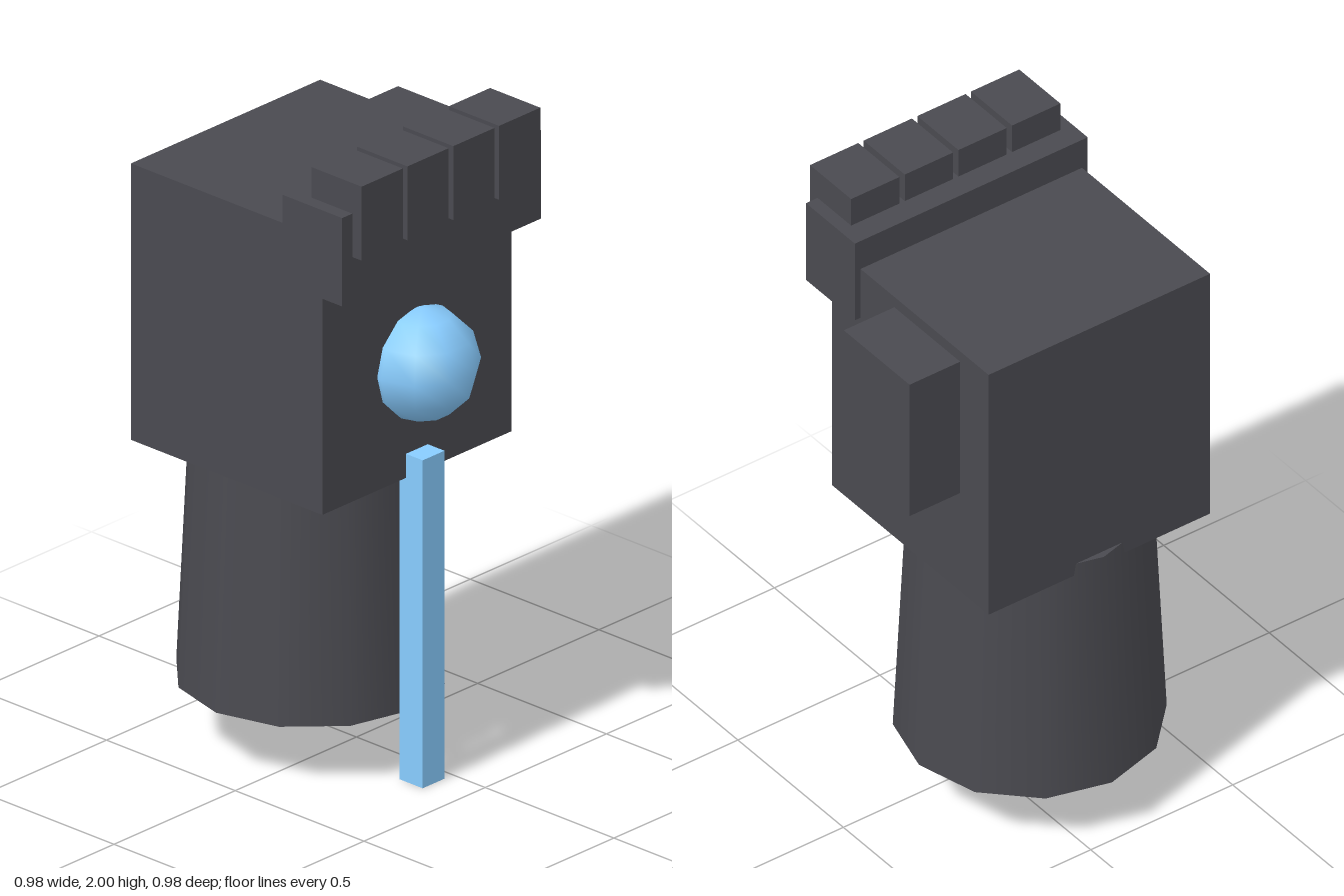
import * as THREE from 'three';

export function createModel() {
  const model = new THREE.Group();
  const dark = new THREE.MeshStandardMaterial({ color: 0x4a4a50 });
  const blue = new THREE.MeshStandardMaterial({ color: 0x88ccff });

  function add(name, geometry, material, x, y, z) {
    const mesh = new THREE.Mesh(geometry, material);
    mesh.name = name;
    mesh.position.set(x, y, z);
    model.add(mesh);
    return mesh;
  }

  // Box given by its lower and upper corners
  function addBox(name, material, [x0, y0, z0], [x1, y1, z1]) {
    return add(name, new THREE.BoxGeometry(x1 - x0, y1 - y0, z1 - z0), material,
      (x0 + x1) / 2, (y0 + y1) / 2, (z0 + z1) / 2);
  }

  // Tapered twelve-sided forearm, its top sunk slightly into the palm
  add('forearm', new THREE.CylinderGeometry(0.352, 0.39, 0.785, 12), dark, -0.08, 0.5925, -0.103);

  // Hand
  addBox('palm', dark, [-0.47, 0.945, -0.433], [0.31, 1.805, 0.31]);
  addBox('knuckles', dark, [-0.49, 1.63, 0.174], [0.33, 1.905, 0.406]);
  addBox('thumb', dark, [0.29, 1.297, -0.298], [0.488, 1.768, 0.014]);

  // Four fingertips in a row
  for (let i = 0; i < 4; i++) {
    const x = -0.448 + i * 0.189;
    addBox(`finger${i + 1}`, dark, [x, 1.77, 0.247], [x + 0.17, 2, 0.442]);
  }

  // Glowing orb in the palm and the rod along the forearm
  add('orb', new THREE.SphereGeometry(0.17, 10, 6), blue, -0.08, 1.297, 0.33);
  addBox('rod', blue, [-0.125, 0, 0.285], [-0.035, 1.02, 0.375]);

  return model;
}
